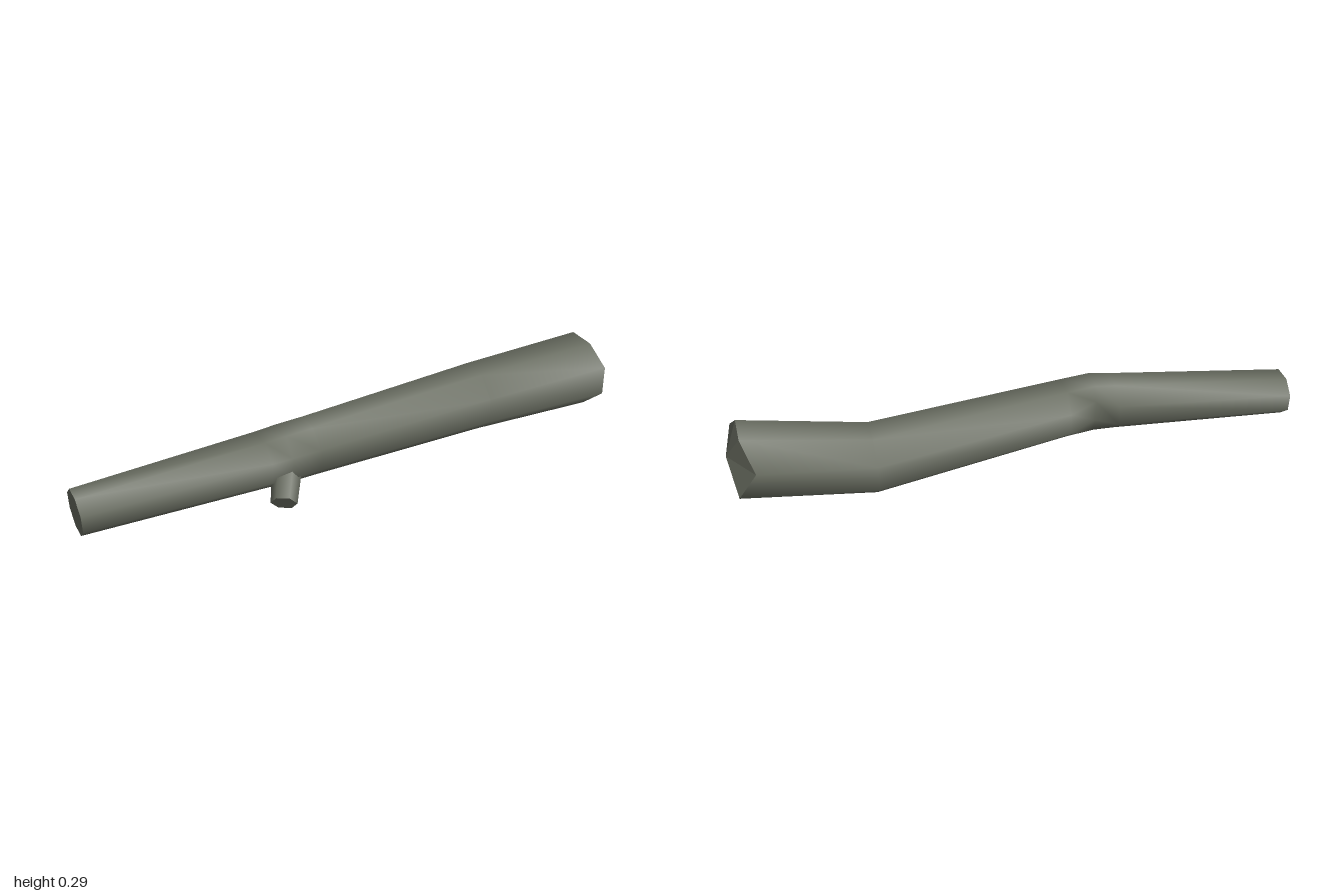
import * as THREE from 'three';

const SIDES = 8;

// Octagonal cross-section in the plane at x
function ring(x, y, z, r, backLimit = -1) {
  return Array.from({ length: SIDES }, (_, k) => {
    const a = THREE.MathUtils.degToRad(68 + 45 * k);
    return [x, y + r * Math.sin(a), Math.max(z + r * Math.cos(a), backLimit)];
  });
}

function surface(points, index) {
  const g = new THREE.BufferGeometry();
  g.setAttribute('position', new THREE.Float32BufferAttribute(points.flat(), 3));
  if (index) g.setIndex(index);
  g.computeVertexNormals();
  return g;
}

export function createModel() {
  const group = new THREE.Group();
  const bark = new THREE.MeshStandardMaterial({ color: 0x6a6e62 });
  bark.name = 'greyBark';
  const add = (name, geometry) => {
    const mesh = new THREE.Mesh(geometry, bark);
    mesh.name = name;
    group.add(mesh);
    return mesh;
  };

  // Jagged thick end of the log
  const brokenRim = [
    [0.95, 0.29, 0.06], [0.95, 0.285, -0.045], [0.915, 0.208, -0.145], [0.98, 0.095, -0.113],
    [0.945, 0.03, -0.035], [0.945, 0.035, 0.07], [0.97, 0.11, 0.142], [0.97, 0.22, 0.138],
  ];

  // Bent log, pinched at the back of its first bend
  const rings = [
    ring(-1, 0.105, -0.083, 0.083),
    ring(-0.36, 0.148, -0.015, 0.102),
    ring(-0.285, 0.153, -0.008, 0.106, -0.065),
    ring(-0.18, 0.15, -0.012, 0.107),
    ring(0.52, 0.12, -0.056, 0.127),
    brokenRim,
  ];
  const index = [];
  for (let i = 0; i < rings.length - 1; i++) {
    for (let k = 0; k < SIDES; k++) {
      const a = i * SIDES + k, b = i * SIDES + (k + 1) % SIDES;
      const c = a + SIDES, d = b + SIDES;
      index.push(a, c, b, b, c, d);
    }
  }
  add('logBark', surface(rings.flat(), index));

  // Flat thin end
  const thin = [];
  for (let k = 1; k < SIDES - 1; k++) thin.push(rings[0][0], rings[0][k], rings[0][k + 1]);
  add('thinEnd', surface(thin));

  // Faceted broken end with an off-centre tip
  const tip = [1, 0.185, 0.01];
  const v = brokenRim;
  const facets = [tip, v[6], v[3], v[6], v[5], v[4], v[6], v[4], v[3]];
  for (const k of [6, 7, 0, 1, 2]) facets.push(tip, v[(k + 1) % SIDES], v[k]);
  add('brokenEnd', surface(facets));

  // Short branch stub pointing forward and down
  const from = new THREE.Vector3(-0.29, 0.115, 0.04);
  const to = new THREE.Vector3(-0.345, 0.057, 0.133);
  const axis = to.clone().sub(from);
  const stub = add('branchStub', new THREE.CylinderGeometry(0.046, 0.052, axis.length(), 6));
  stub.position.copy(from).add(to).multiplyScalar(0.5);
  stub.quaternion.setFromUnitVectors(new THREE.Vector3(0, 1, 0), axis.normalize());

  return group;
}
